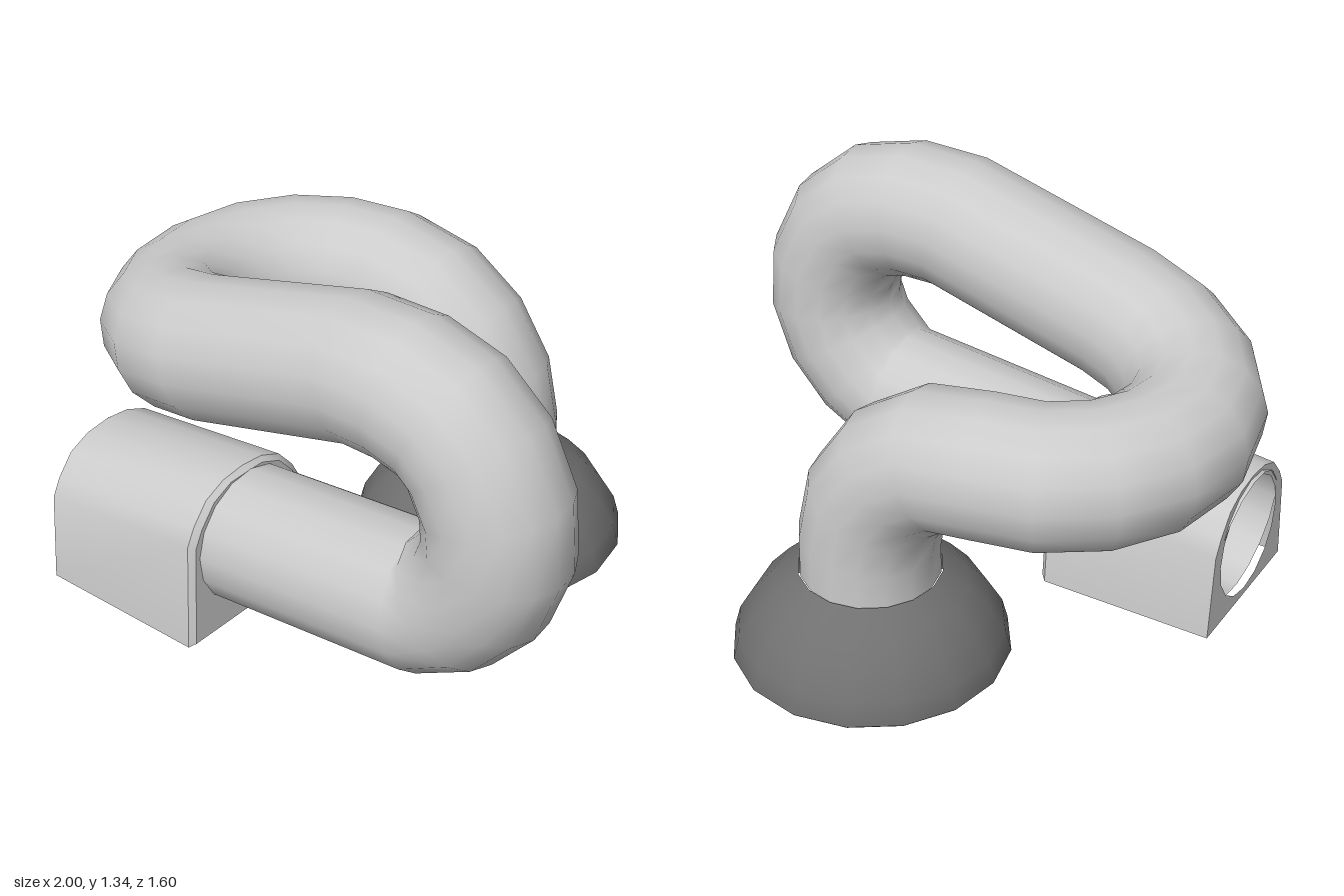
import * as THREE from 'three';
import { toCreasedNormals } from 'three/addons/utils/BufferGeometryUtils.js';

const TUBE_R = 0.23;
const FRONT_Z = 0.515, BACK_Z = -0.34;

const grey = new THREE.MeshStandardMaterial({ color: 0xcccccc, side: THREE.DoubleSide });
const dark = new THREE.MeshStandardMaterial({ color: 0x707070, side: THREE.DoubleSide });

// Curve that puts one tube ring exactly on each given point
class RingPath extends THREE.Curve {
  constructor(points) {
    super();
    this.points = points;
  }
  index(u) {
    return Math.round(u * (this.points.length - 1));
  }
  getPointAt(u, target = new THREE.Vector3()) {
    return target.copy(this.points[this.index(u)]);
  }
  getTangentAt(u, target = new THREE.Vector3()) {
    const i = this.index(u), p = this.points;
    return target.subVectors(p[Math.min(i + 1, p.length - 1)], p[Math.max(i - 1, 0)]).normalize();
  }
}

function add(group, name, geometry, material) {
  const mesh = new THREE.Mesh(geometry, material);
  mesh.name = name;
  group.add(mesh);
}

function tubePoints() {
  const pts = [new THREE.Vector3(0.09, 0.3, BACK_Z)];
  const step = Math.PI / 8;
  // bend from the upright column towards -x
  for (let i = 0; i < 4; i++) {
    const a = i * step;
    pts.push(new THREE.Vector3(-0.31 + 0.4 * Math.cos(a), 0.43 + 0.4 * Math.sin(a), BACK_Z));
  }
  // half turn to the front, level at first and then climbing
  const midZ = (FRONT_Z + BACK_Z) / 2, r = (FRONT_Z - BACK_Z) / 2;
  for (let i = 0; i <= 8; i++) {
    const x = -0.34 - 0.43 * Math.sin(i * step);
    const y = 0.83 + (i > 4 ? 0.268 * (x + 0.77) : 0);
    pts.push(new THREE.Vector3(x, y, midZ - r * Math.cos(i * step)));
  }
  // upright return loop and the run down to the exit
  const loop = [
    [0.27, 1.113], [0.44, 1.115], [0.59, 1.075], [0.69, 0.99], [0.76, 0.845],
    [0.77, 0.7], [0.72, 0.565], [0.62, 0.455], [0.51, 0.387], [-0.22, 0.308], [-0.84, 0.243],
  ];
  for (const [x, y] of loop) pts.push(new THREE.Vector3(x, y, FRONT_Z));
  return pts;
}

// Arched outline of the exit block: points [z, y], lowered by drop, shrunk by inset
function archOutline(drop, inset) {
  const half = [[0.285, 0], [0.262, 0.38], [0.23, 0.44], [0.17, 0.51], [0.09, 0.545]];
  const right = half.map(([z, y]) => [z - inset, y === 0 ? inset * 0.7 : y - drop - inset * 0.5]);
  const left = right.map(([z, y]) => [-z, y]).reverse();
  return [...right, [0, 0.555 - drop - inset], ...left];
}

// Open-bottomed shell lofted through the outlines
function shellGeometry(sections) {
  const position = [], index = [];
  const n = sections[0].outline.length;
  for (const { x, outline } of sections) for (const [z, y] of outline) position.push(x, y, z);
  for (let s = 0; s < sections.length - 1; s++) {
    for (let i = 0; i < n - 1; i++) {
      const a = s * n + i, b = a + n;
      index.push(a, b, b + 1, a, b + 1, a + 1);
    }
  }
  const g = new THREE.BufferGeometry();
  g.setAttribute('position', new THREE.Float32BufferAttribute(position, 3));
  g.setIndex(index);
  // orient faces outwards
  for (let i = 0; i < index.length; i += 3) [index[i + 1], index[i + 2]] = [index[i + 2], index[i + 1]];
  g.setIndex(index);
  return toCreasedNormals(g, 0.6);
}

// End wall with a round opening for the tube
function endWall(x, outline, centreY, radius, facing) {
  const shape = new THREE.Shape(outline.map(([z, y]) => new THREE.Vector2(z, y)));
  shape.holes.push(new THREE.Path().absarc(0, centreY, radius, 0, Math.PI * 2, true));
  return new THREE.ShapeGeometry(shape, 8).rotateY(facing * Math.PI / 2).translate(x, 0, 0);
}

export function createModel() {
  const model = new THREE.Group();
  model.name = 'tubeSlide';

  // winding tube, open at both ends
  const pts = tubePoints();
  add(model, 'tube', new THREE.TubeGeometry(new RingPath(pts), pts.length - 1, TUBE_R, 16), grey);

  // hollow dome under the column
  const profile = [[0.45, 0], [0.46, 0.01], [0.44, 0.085], [0.39, 0.17], [0.32, 0.25], [0.235, 0.305]];
  const dome = new THREE.LatheGeometry(profile.map(([r, y]) => new THREE.Vector2(r, y)), 16);
  add(model, 'domeBase', dome.translate(0.09, 0, BACK_Z), dark);

  // arched block around the exit
  const exit = new THREE.Group();
  exit.name = 'exitBlock';
  exit.position.z = FRONT_Z;
  const low = archOutline(0.073, 0), high = archOutline(0, 0), rim = archOutline(0, 0.018);
  add(exit, 'exitShell', shellGeometry([
    { x: -0.85, outline: low }, { x: -0.24, outline: high }, { x: -0.222, outline: rim },
  ]), grey);
  add(exit, 'exitOuterWall', endWall(-0.85, low, 0.242, 0.215, -1), grey);
  add(exit, 'exitInnerWall', endWall(-0.222, rim, 0.308, 0.222, 1), grey);
  model.add(exit);

  return model;
}
